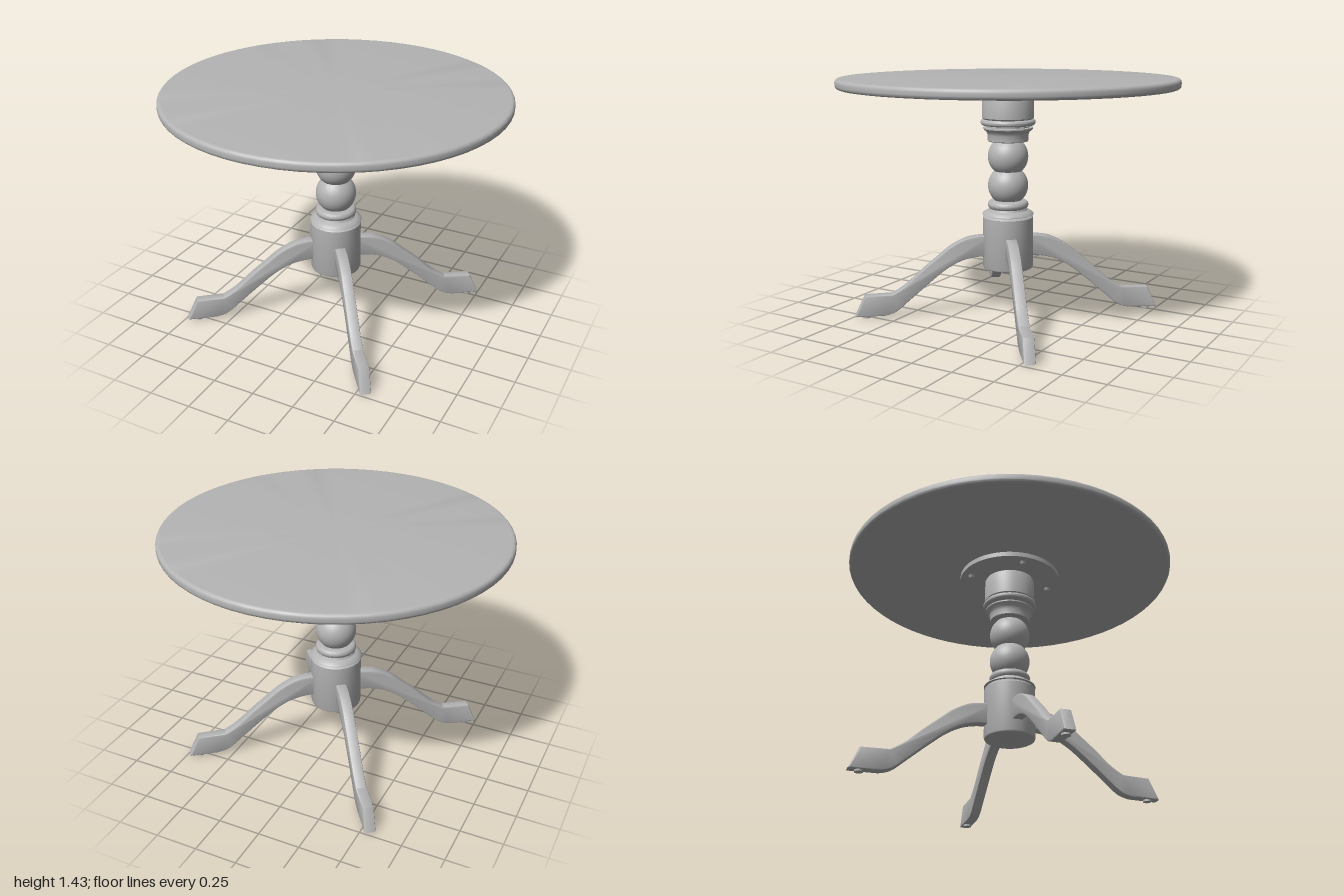
import * as THREE from 'three';
import { toCreasedNormals } from 'three/addons/utils/BufferGeometryUtils.js';

export function createModel() {
  const table = new THREE.Group();
  table.name = 'pedestalTable';
  const paint = new THREE.MeshStandardMaterial({ color: 0xb4b4b4 });
  paint.name = 'greyPaint';

  const add = (name, geometry, parent = table) => {
    const mesh = new THREE.Mesh(geometry, paint);
    mesh.name = name;
    parent.add(mesh);
    return mesh;
  };
  const turned = (points, segments = 64) => toCreasedNormals(
    new THREE.LatheGeometry(points.map(([r, y]) => new THREE.Vector2(r, y)), segments), 0.6);
  // Arc of a bead centred on the axis at (cr, cy)
  const bead = (cr, cy, rx, ry, from, to, n) => Array.from({ length: n + 1 }, (_, i) => {
    const a = from + (to - from) * i / n;
    return [cr + rx * Math.cos(a), cy + ry * Math.sin(a)];
  });

  // Round top with a softened rim
  add('tabletop', turned([
    [0, 1.375], [0.98, 1.375],
    ...bead(0.98, 1.395, 0.02, 0.02, -1.3, 0, 4),
    ...bead(0.98, 1.41, 0.02, 0.022, 0, 1.3, 4),
    [0.975, 1.432], [0, 1.432],
  ]));

  // Mounting plate under the top
  const plate = add('mountingPlate', new THREE.CylinderGeometry(0.308, 0.308, 0.03, 64));
  plate.position.y = 1.361;

  // Turned column, bottom to top
  const h = Math.PI / 2;
  add('column', turned([
    [0, 0.285], [0.138, 0.285], [0.147, 0.29], [0.151, 0.3],
    [0.151, 0.6], [0.145, 0.607], [0.137, 0.61],
    [0.137, 0.617], [0.154, 0.617], [0.15, 0.625], [0.13, 0.637], [0.116, 0.643],
    [0.112, 0.652],
    ...bead(0.1, 0.675, 0.022, 0.024, -h, h, 10),
    ...bead(0, 0.79, 0.12, 0.12, -0.82, 0.82, 16),
    ...bead(0, 0.965, 0.12, 0.12, -0.82, 0.82, 16),
    [0.118, 1.056], [0.121, 1.06], [0.121, 1.095], [0.128, 1.112], [0.14, 1.122],
    [0.147, 1.13], [0.147, 1.138], [0.128, 1.14], [0.128, 1.148], [0.15, 1.15],
    ...bead(0.146, 1.169, 0.017, 0.018, -h, h, 10),
    [0.153, 1.195], [0.153, 1.335], [0.148, 1.346], [0, 1.346],
  ]));

  // Leg side profile: x is the distance from the axis
  const v = (x, y) => new THREE.Vector2(x, y);
  const profile = new THREE.Shape();
  profile.moveTo(0.12, 0.49);
  profile.splineThru([v(0.19, 0.487), v(0.26, 0.472), v(0.35, 0.425), v(0.43, 0.36),
    v(0.52, 0.285), v(0.62, 0.195), v(0.70, 0.143)]);
  profile.lineTo(0.865, 0.138);
  profile.lineTo(0.925, 0.01);
  profile.lineTo(0.75, 0.012);
  profile.splineThru([v(0.68, 0.035), v(0.59, 0.11), v(0.48, 0.205), v(0.38, 0.285),
    v(0.29, 0.335), v(0.2, 0.358), v(0.12, 0.362)]);
  profile.closePath();
  const bevel = 0.008, width = 0.064;
  const extruded = new THREE.ExtrudeGeometry(profile, {
    depth: width - 2 * bevel, curveSegments: 28,
    bevelEnabled: true, bevelThickness: bevel, bevelSize: bevel, bevelOffset: -bevel, bevelSegments: 2,
  });
  extruded.translate(0, 0, bevel - width / 2);
  const legGeometry = toCreasedNormals(extruded, 0.5);
  const padGeometry = new THREE.CylinderGeometry(0.025, 0.025, 0.016, 20);
  const screwGeometry = new THREE.CylinderGeometry(0.02, 0.013, 0.018, 16);

  // Four legs, each with a foot pad and a plate screw in line with it
  for (let i = 0; i < 4; i++) {
    const quarter = new THREE.Group();
    quarter.name = 'legAssembly';
    quarter.rotation.y = THREE.MathUtils.degToRad(-52.8 + 90 * i);
    add('leg', legGeometry, quarter);
    add('footPad', padGeometry, quarter).position.set(0.86, 0.008, 0);
    add('plateScrew', screwGeometry, quarter).position.set(0.25, 1.338, 0);
    table.add(quarter);
  }
  return table;
}
